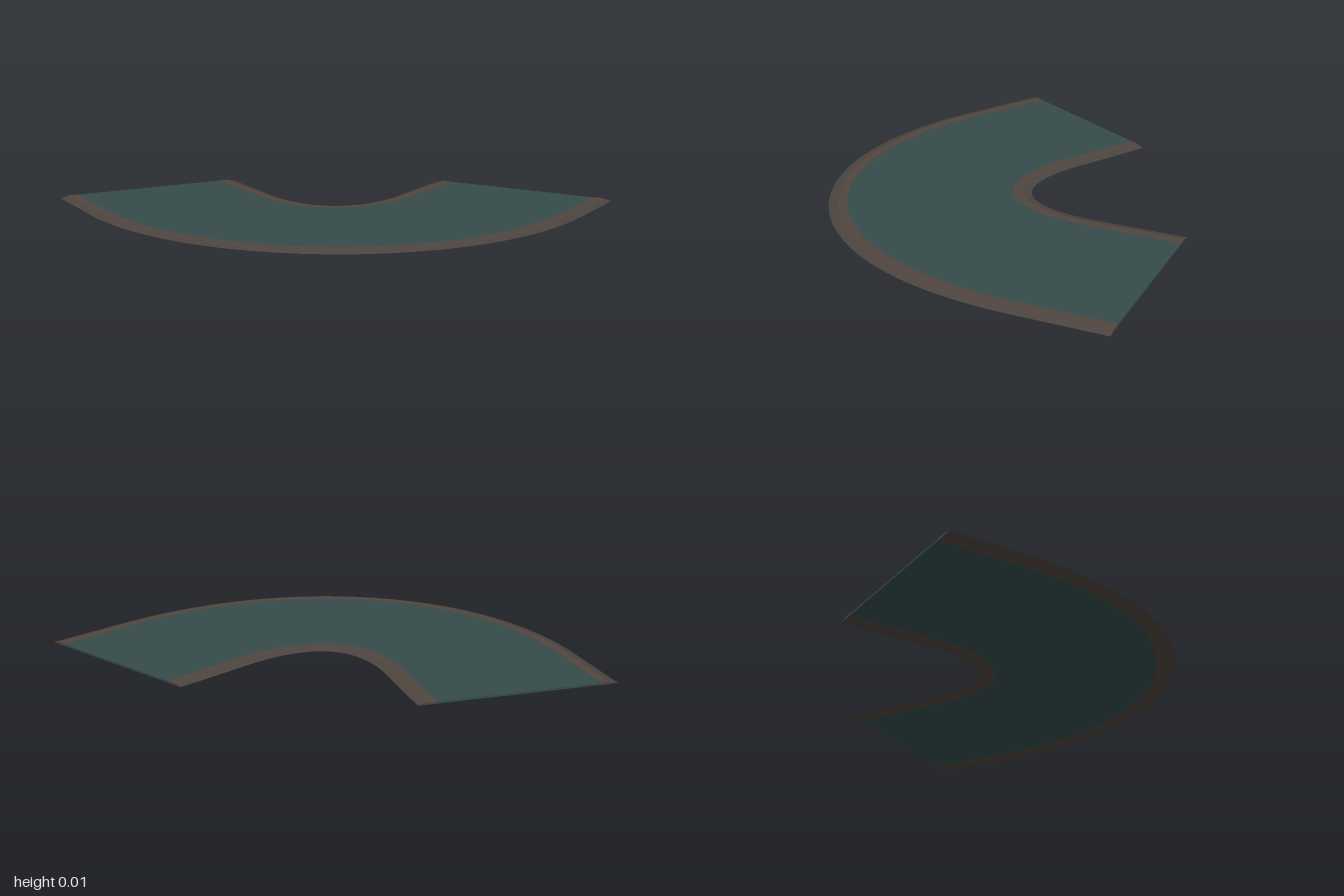
import * as THREE from 'three';

const mat = (name, color) => {
  const m = new THREE.MeshStandardMaterial({ color });
  m.name = name;
  return m;
};

// Centreline: straight, 120 degree eased bend, straight. Returns points with outward normals.
function centreline() {
  const v = (x, z) => new THREE.Vector2(x, z);
  const start = v(0.595, -0.765), end = v(-0.797, 0.04);
  const a = v(0.595, -0.4), b = v(-0.482, 0.222);
  const bend = new THREE.CubicBezierCurve(a, v(0.595, 0.25), v(0.081, 0.547), b);
  const stations = [{ p: start, t: v(0, 1) }];
  const n = 48;
  for (let i = 0; i <= n; i++) stations.push({ p: bend.getPoint(i / n), t: bend.getTangent(i / n) });
  stations.push({ p: end, t: v(-0.866, -0.5) });
  return stations.map(({ p, t }) => ({ p, n: v(t.y, -t.x) }));
}

// Sweep a closed convex section of [offset, height] corners along the path, with end caps.
function sweep(section, path) {
  const pos = [];
  const at = (s, [o, y]) => [s.p.x + s.n.x * o, y, s.p.y + s.n.y * o];
  const tri = (a, b, c) => pos.push(...a, ...b, ...c);
  for (let i = 0; i < path.length - 1; i++) {
    section.forEach((c, k) => {
      const d = section[(k + 1) % section.length];
      const a0 = at(path[i], c), a1 = at(path[i], d);
      const b0 = at(path[i + 1], c), b1 = at(path[i + 1], d);
      tri(a0, b0, a1);
      tri(a1, b0, b1);
    });
  }
  const first = path[0], last = path[path.length - 1];
  for (let k = 1; k < section.length - 1; k++) {
    tri(at(first, section[0]), at(first, section[k]), at(first, section[k + 1]));
    tri(at(last, section[0]), at(last, section[k + 1]), at(last, section[k]));
  }
  const g = new THREE.BufferGeometry();
  g.setAttribute('position', new THREE.Float32BufferAttribute(pos, 3));
  g.computeVertexNormals();
  return g;
}

export function createModel() {
  const group = new THREE.Group();
  group.name = 'curvedRoad';
  const path = centreline();
  const road = mat('road teal', 0x354b4b);
  const lip = mat('kerb brown', 0x52463f);
  const slope = mat('shoulder grey brown', 0x4b443e);
  const half = 0.405, top = 0.009, roadTop = 0.008;
  const crest = half - 0.037, inner = half - 0.074;

  const add = (name, section, material) => {
    const mesh = new THREE.Mesh(sweep(section, path), material);
    mesh.name = name;
    group.add(mesh);
  };

  // Road surface
  add('roadSurface', [[-inner, 0], [-inner, roadTop], [inner, roadTop], [inner, 0]], road);

  // Flat kerb and sloping shoulder on both edges
  for (const [side, s] of [['outer', 1], ['inner', -1]]) {
    const mirror = (pts) => (s > 0 ? pts : pts.map(([o, y]) => [-o, y]).reverse());
    add(side + 'Kerb', mirror([[inner, 0], [inner, top], [crest, top], [crest, 0]]), lip);
    add(side + 'Shoulder', mirror([[crest, 0], [crest, top], [half, 0]]), slope);
  }
  return group;
}
